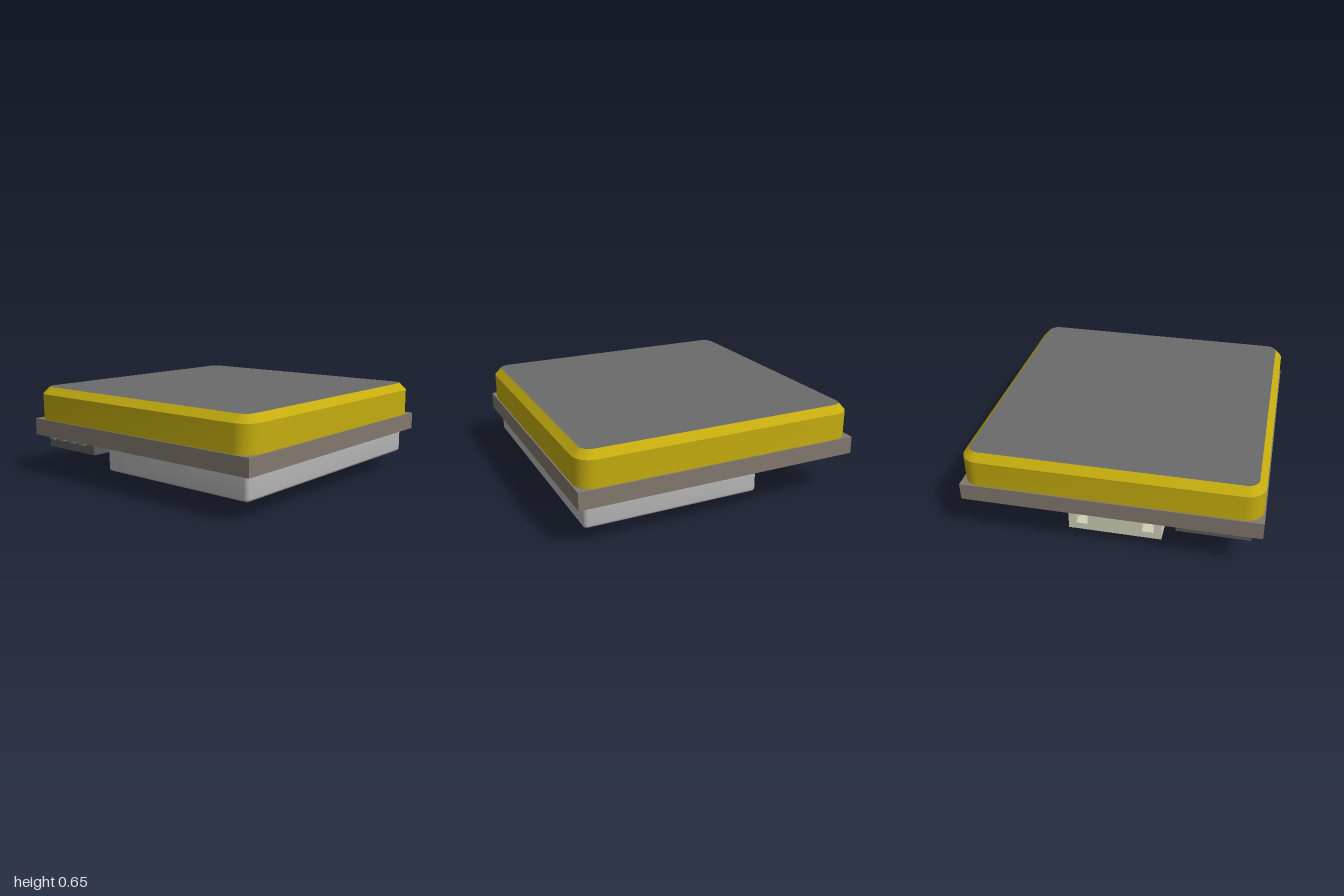
import * as THREE from 'three';
import { toCreasedNormals } from 'three/addons/utils/BufferGeometryUtils.js';

const paint = (color) => new THREE.MeshStandardMaterial({ color });

// Closed rounded-rectangle ring in the horizontal plane, anticlockwise from above
function ring(hx, hz, r, y, cx = 0, cz = 0, steps = 6) {
  const pts = [];
  [[1, 1], [-1, 1], [-1, -1], [1, -1]].forEach(([sx, sz], q) => {
    for (let i = 0; i <= steps; i++) {
      const a = (q + i / steps) * Math.PI / 2;
      pts.push([cx + sx * (hx - r) + r * Math.cos(a), y, cz - sz * (hz - r) - r * Math.sin(a)]);
    }
  });
  return pts;
}

// Joins rings from bottom to top, with optional end caps
function loft(rings, capBottom = true, capTop = true) {
  const pos = [];
  const n = rings[0].length;
  const tri = (...p) => p.forEach((v) => pos.push(...v));
  for (let k = 0; k + 1 < rings.length; k++) {
    for (let i = 0; i < n; i++) {
      const j = (i + 1) % n;
      const a = rings[k][i], b = rings[k][j], c = rings[k + 1][j], d = rings[k + 1][i];
      tri(a, b, c);
      tri(a, c, d);
    }
  }
  const low = rings[0], top = rings[rings.length - 1];
  for (let i = 1; i < n - 1; i++) {
    if (capBottom) tri(low[0], low[i + 1], low[i]);
    if (capTop) tri(top[0], top[i], top[i + 1]);
  }
  const g = new THREE.BufferGeometry();
  g.setAttribute('position', new THREE.Float32BufferAttribute(pos, 3));
  return toCreasedNormals(g, 0.5);
}

const polygon = (pts) => new THREE.Shape(pts.map(([x, y]) => new THREE.Vector2(x, y)));

export function createModel() {
  const model = new THREE.Group();
  const ceramic = paint(0xc4ac0e), padGrey = paint(0x6b6b6b), boardBrown = paint(0x82786e);
  const metal = paint(0xb8b8b8), dark = paint(0x5c5c5c), cream = paint(0xd0d0b8);

  function add(parent, name, geometry, material, x = 0, y = 0, z = 0) {
    const mesh = new THREE.Mesh(geometry, material);
    mesh.name = name;
    mesh.position.set(x, y, z);
    parent.add(mesh);
    return mesh;
  }
  const group = (name) => {
    const g = new THREE.Group();
    g.name = name;
    model.add(g);
    return g;
  };

  // Circuit board
  add(model, 'circuitBoard', new THREE.BoxGeometry(2, 0.12, 2), boardBrown, 0, 0.355, 0);

  // Ceramic antenna block with chamfered top, and the plate filling its top face
  add(model, 'antennaBlock', loft([
    ring(0.99, 0.99, 0.12, 0.415), ring(0.99, 0.99, 0.12, 0.6), ring(0.942, 0.942, 0.072, 0.65),
  ], true, false), ceramic);
  add(model, 'antennaPlate', loft([ring(0.942, 0.942, 0.072, 0.65)], false, true), padGrey);

  // Shield can under the board, lower edge rounded
  const shield = group('shield');
  const canRings = [];
  for (let i = 0; i <= 4; i++) {
    const a = (i / 4) * Math.PI / 2, inset = 0.02 * (1 - Math.sin(a));
    canRings.push(ring(0.937 - inset, 0.613 - inset, 0.03 - inset, 0.145 - 0.02 * Math.cos(a), -0.005, 0.333));
  }
  canRings.push(ring(0.937, 0.613, 0.03, 0.297, -0.005, 0.333));
  add(shield, 'shieldCan', loft(canRings), metal);
  add(shield, 'shieldPanel', new THREE.BoxGeometry(1.83, 0.004, 1.182), dark, -0.005, 0.124, 0.333);

  // Raised pair of axis arrows on the panel, drawn in x and -z
  const arrows = polygon([
    [-0.41, -0.66], [0.16, -0.66], [0.16, -0.77], [0.31, -0.62], [0.16, -0.47], [0.16, -0.58],
    [-0.33, -0.58], [-0.33, -0.15], [-0.22, -0.15], [-0.37, 0], [-0.52, -0.15], [-0.41, -0.15],
  ]);
  const arrowGeometry = new THREE.ExtrudeGeometry(arrows, { depth: 0.014, bevelEnabled: false });
  arrowGeometry.rotateX(-Math.PI / 2);
  add(shield, 'axisArrows', arrowGeometry, metal, 0, 0.11, 0);

  // Connector housing, open to the back, with a stepped socket
  const connector = group('connector');
  const face = polygon([[-0.325, 0], [0.325, 0], [0.325, 0.3], [-0.325, 0.3]]);
  face.holes.push(polygon([
    [-0.27, 0.05], [-0.27, 0.24], [0.27, 0.24], [0.27, 0.05],
    [0.19, 0.05], [0.19, 0.13], [-0.19, 0.13], [-0.19, 0.05],
  ]));
  add(connector, 'connectorHousing',
    new THREE.ExtrudeGeometry(face, { depth: 0.26, bevelEnabled: false }), cream, 0, 0, -0.805);
  add(connector, 'connectorWall', new THREE.BoxGeometry(0.65, 0.3, 0.11), cream, 0, 0.15, -0.49);

  // Sensor chip with a pin mark and solder pads around it
  const chip = group('sensorChip');
  chip.position.set(-0.683, 0, -0.683);
  add(chip, 'chipBody', new THREE.BoxGeometry(0.49, 0.095, 0.49), dark, 0, 0.2525, 0);
  add(chip, 'pinMark', new THREE.CylinderGeometry(0.035, 0.035, 0.006, 24), metal, -0.16, 0.204, 0.16);
  for (let side = 0; side < 4; side++) {
    const row = new THREE.Group();
    row.name = 'padRow';
    row.rotation.y = side * Math.PI / 2;
    chip.add(row);
    for (let i = 0; i < 4; i++) {
      add(row, 'solderPad', new THREE.BoxGeometry(0.055, 0.025, 0.06), boardBrown, (i - 1.5) * 0.11, 0.2875, -0.267);
    }
  }

  return model;
}
